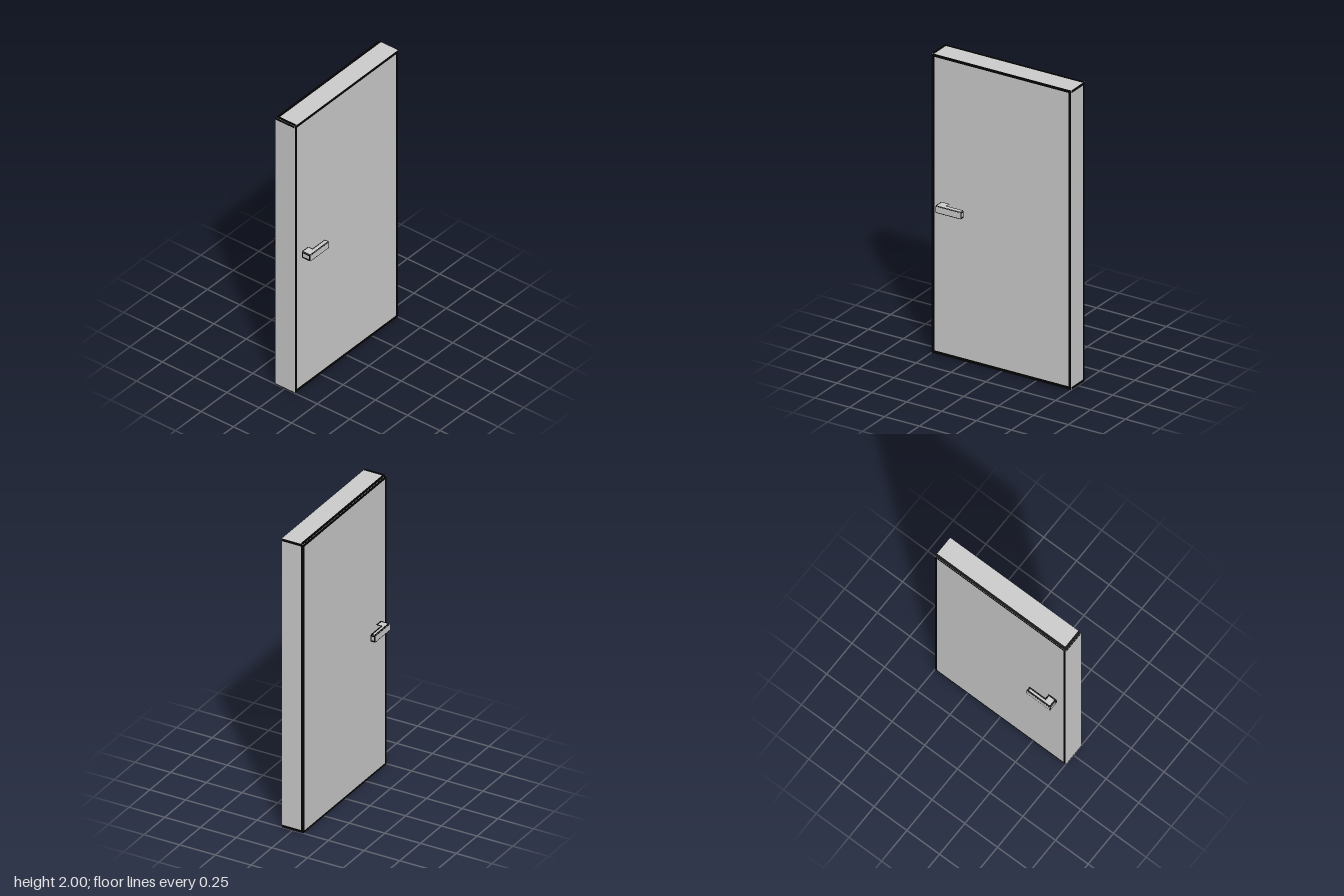
import * as THREE from 'three';

const W = 1, H = 2, D = 0.15, LIFT = 0.001;

const panelGray = new THREE.MeshStandardMaterial({ color: 0xcccccc });
panelGray.name = 'panelGray';
const trimBlack = new THREE.MeshStandardMaterial({ color: 0x030303, side: THREE.DoubleSide });
trimBlack.name = 'trimBlack';

// Painted edge strips on a w x h face; widths are [top, right, bottom, left]
function edgeStrips(name, w, h, [t, r, b, l]) {
  const group = new THREE.Group();
  group.name = name;
  const strip = (sw, sh, x, y) => {
    if (!sw || !sh) return;
    const m = new THREE.Mesh(new THREE.PlaneGeometry(sw, sh), trimBlack);
    m.name = name + 'Strip';
    m.position.set(x, y, 0);
    group.add(m);
  };
  strip(w, t, 0, h / 2 - t / 2);
  strip(w, b, 0, -h / 2 + b / 2);
  strip(r, h, w / 2 - r / 2, 0);
  strip(l, h, -w / 2 + l / 2, 0);
  return group;
}

// L-shaped lever seen from above, shrunk by the inset i
function leverPoints(i) {
  return [
    [-0.43 + i, 0.075 + i], [-0.37 - i, 0.075 + i], [-0.37 - i, 0.108 + i],
    [-0.25 - i, 0.108 + i], [-0.25 - i, 0.14 - i], [-0.43 + i, 0.14 - i],
  ].map(([x, z]) => new THREE.Vector2(x, z));
}

function makeHandle(name, trim) {
  const handle = new THREE.Group();
  handle.name = name;
  const height = 0.045;

  const body = new THREE.Mesh(
    new THREE.ExtrudeGeometry(new THREE.Shape(leverPoints(0)), { depth: height, bevelEnabled: false })
      .rotateX(Math.PI / 2).translate(0, height / 2, 0), panelGray);
  body.name = 'lever';
  handle.add(body);

  // Outline on the upper and lower faces
  const ring = new THREE.Shape(leverPoints(0));
  ring.holes.push(new THREE.Path(leverPoints(trim).reverse()));
  for (const s of [1, -1]) {
    const outline = new THREE.Mesh(new THREE.ShapeGeometry(ring).rotateX(Math.PI / 2), trimBlack);
    outline.name = 'leverOutline';
    outline.position.y = s * (height / 2 + LIFT);
    handle.add(outline);
  }

  // Outline on the long outer face and the two ends
  const outer = edgeStrips('leverFace', 0.18, height, [0.004, 0.004, 0.004, 0.004]);
  outer.position.set(-0.34, 0, 0.14 + LIFT);
  const tip = edgeStrips('leverTip', 0.032, height, [0.01, 0.008, 0.01, 0.008]);
  tip.rotation.y = Math.PI / 2;
  tip.position.set(-0.25 + LIFT, 0, 0.124);
  const heel = edgeStrips('leverHeel', 0.065, height, [0.01, 0.01, 0.01, 0.01]);
  heel.rotation.y = -Math.PI / 2;
  heel.position.set(-0.43 - LIFT, 0, 0.1075);
  handle.add(outer, tip, heel);

  handle.position.y = 1;
  return handle;
}

export function createModel() {
  const model = new THREE.Group();
  model.name = 'door';

  const slab = new THREE.Mesh(new THREE.BoxGeometry(W, H, D), panelGray);
  slab.name = 'doorSlab';
  slab.position.y = H / 2;
  model.add(slab);

  // Dark edging: name, face size, strip widths, rotation, outward direction
  const q = Math.PI / 2;
  const faces = [
    ['frontEdging', W, H, [0.02, 0.02, 0.02, 0.02], [0, 0], [0, 0, 1]],
    ['backEdging', W, H, [0.02, 0.018, 0.014, 0.014], [0, 2 * q], [0, 0, -1]],
    ['leftEdging', D, H, [0.018, 0.016, 0.018, 0], [0, q], [1, 0, 0]],
    ['rightEdging', D, H, [0.015, 0, 0.006, 0], [0, -q], [-1, 0, 0]],
    ['topEdging', W, D, [0.02, 0, 0, 0.02], [-q, 0], [0, 1, 0]],
    ['bottomEdging', W, D, [0, 0, 0, 0.012], [q, 0], [0, -1, 0]],
  ];
  for (const [name, w, h, widths, [rx, ry], [nx, ny, nz]] of faces) {
    const edging = edgeStrips(name, w, h, widths);
    edging.rotation.set(rx, ry, 0);
    edging.position.set(nx * (W / 2 + LIFT), H / 2 + ny * (H / 2 + LIFT), nz * (D / 2 + LIFT));
    model.add(edging);
  }

  // One lever on each side of the door
  const front = makeHandle('frontHandle', 0.006);
  const back = makeHandle('backHandle', 0.01);
  back.rotation.x = Math.PI;
  model.add(front, back);
  return model;
}
